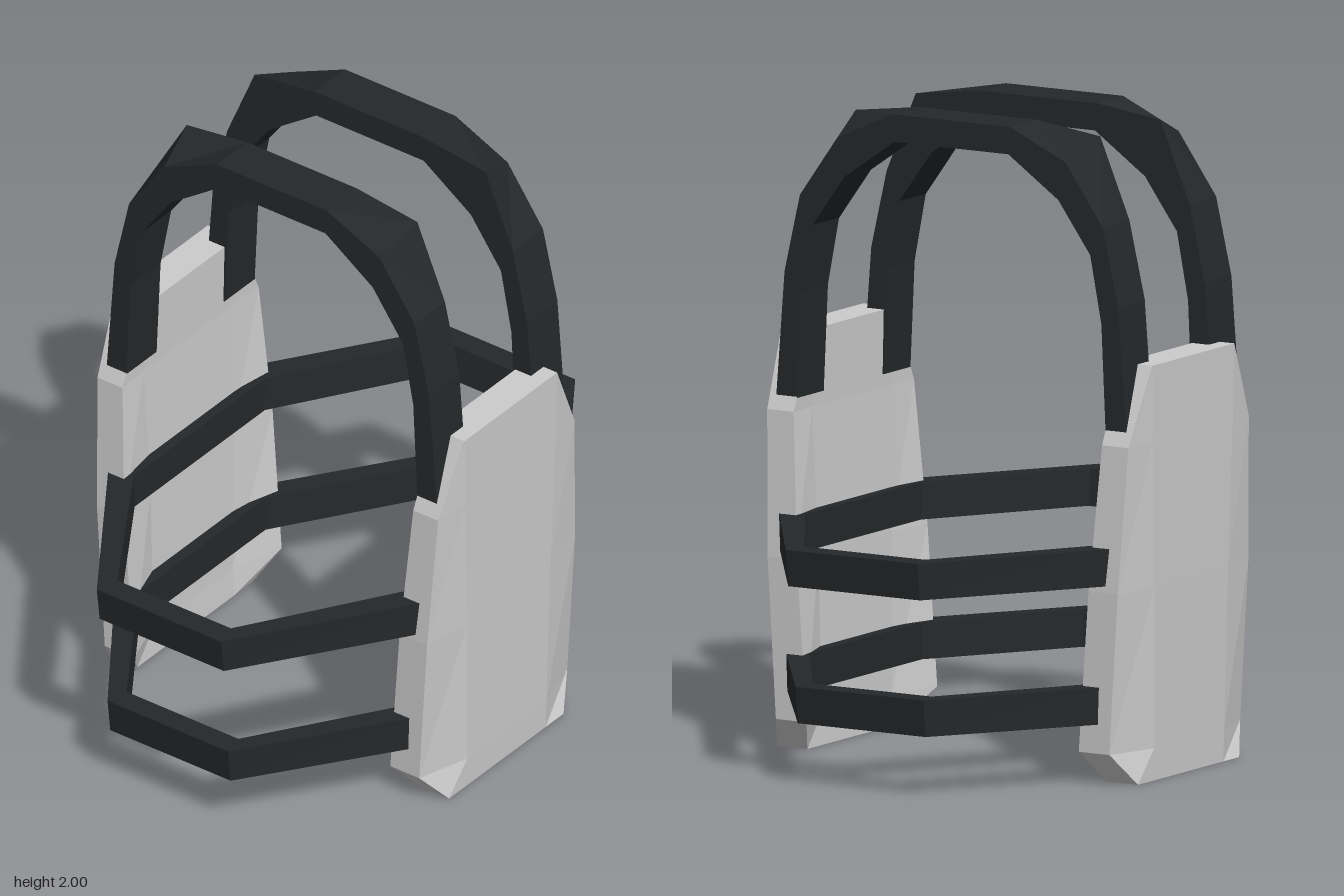
import * as THREE from 'three';

const plateMaterial = new THREE.MeshStandardMaterial({ color: 0xcccccc, flatShading: true });
const strapMaterial = new THREE.MeshStandardMaterial({ color: 0x25282a, flatShading: true });

// Skin a list of equal-sized rings; closed joins last to first, otherwise the ends are capped
function loft(rings, closed) {
  const tris = [];
  const n = rings[0].length;
  const last = closed ? rings.length : rings.length - 1;
  for (let i = 0; i < last; i++) {
    const a = rings[i], b = rings[(i + 1) % rings.length];
    for (let j = 0; j < n; j++) {
      const k = (j + 1) % n;
      tris.push([a[j], a[k], b[k]], [a[j], b[k], b[j]]);
    }
  }
  if (!closed) {
    const a = rings[0], b = rings[rings.length - 1];
    for (let j = 1; j < n - 1; j++) {
      tris.push([a[0], a[j + 1], a[j]], [b[0], b[j], b[j + 1]]);
    }
  }
  // turn the faces outward if the rings ran the other way
  const vec = (p) => new THREE.Vector3(...p);
  const volume = tris.reduce((v, [p, q, r]) => v + vec(p).dot(vec(q).cross(vec(r))), 0);
  if (volume < 0) tris.forEach((t) => t.reverse());
  const geometry = new THREE.BufferGeometry();
  geometry.setAttribute('position', new THREE.Float32BufferAttribute(tris.flat(2), 3));
  geometry.computeVertexNormals();
  return geometry;
}

// Armour plate with swept-back sides and clipped corners
function plateGeometry() {
  // y, half width, half width of flat centre, centre outer/inner z, edge outer/inner z
  const rows = [
    [0, 0.29, 0.2, 0.65, 0.54, 0.65, 0.54],
    [0.1, 0.375, 0.2, 0.652, 0.545, 0.6, 0.49],
    [0.6, 0.375, 0.21, 0.66, 0.55, 0.63, 0.525],
    [1.05, 0.345, 0.23, 0.665, 0.56, 0.65, 0.555],
    [1.29, 0.235, 0.23, 0.667, 0.555, 0.667, 0.555],
  ];
  return loft(rows.map(([y, w, c, co, ci, eo, ei]) => [
    [-w, y, eo], [-c, y, co], [c, y, co], [w, y, eo],
    [w, y, ei], [c, y, ci], [-c, y, ci], [-w, y, ei],
  ]), false);
}

// Shoulder strap arching front to back; side is +1 (left) or -1 (right)
function shoulderStrapGeometry(side) {
  // outer z, y on the neck edge; outer z, y on the arm edge; underside z, y
  const half = [
    [0.63, 1.09, 0.63, 1.09, 0.555, 1.09],
    [0.6, 1.48, 0.6, 1.48, 0.54, 1.42],
    [0.545, 1.72, 0.545, 1.72, 0.5, 1.63],
    [0.44, 1.97, 0.41, 1.91, 0.385, 1.79],
    [0.21, 2, 0.21, 2, 0.205, 1.915],
  ];
  const back = half.map((r) => r.map((v, i) => (i % 2 ? v : -v))).reverse();
  const inX = 0.172 * side, outX = 0.325 * side;
  return loft([...half, ...back].map(([nz, ny, az, ay, uz, uy]) => [
    [inX, ny, nz], [outX, ay, az], [outX, uy, uz], [inX, uy, uz],
  ]), false);
}

// Eight-sided belt loop running around the sides and behind both plates
function beltGeometry(yLow, yHigh, outer, inner) {
  const corners = ([wide, shortZ, narrow, longZ]) => [
    [wide, shortZ], [narrow, longZ], [-narrow, longZ], [-wide, shortZ],
    [-wide, -shortZ], [-narrow, -longZ], [narrow, -longZ], [wide, -shortZ],
  ];
  const o = corners(outer), i = corners(inner);
  const lower = 0.984; // the loop tapers slightly downward
  return loft(o.map(([ox, oz], k) => {
    const [ix, iz] = i[k];
    return [
      [ox, yHigh, oz], [ox * lower, yLow, oz],
      [ix * lower, yLow, iz], [ix, yHigh, iz],
    ];
  }), true);
}

export function createModel() {
  const group = new THREE.Group();
  const add = (name, geometry, material) => {
    const mesh = new THREE.Mesh(geometry, material);
    mesh.name = name;
    group.add(mesh);
    return mesh;
  };

  // Chest and back plates
  const plate = plateGeometry();
  add('frontPlate', plate, plateMaterial);
  add('backPlate', plate, plateMaterial).rotation.y = Math.PI;

  // Shoulder straps
  add('leftShoulderStrap', shoulderStrapGeometry(1), strapMaterial);
  add('rightShoulderStrap', shoulderStrapGeometry(-1), strapMaterial);

  // Waist belts
  add('upperBelt', beltGeometry(0.62, 0.735, [0.897, 0.237, 0.365, 0.595], [0.82, 0.217, 0.335, 0.52]), strapMaterial);
  add('lowerBelt', beltGeometry(0.19, 0.305, [0.852, 0.23, 0.35, 0.58], [0.778, 0.213, 0.325, 0.51]), strapMaterial);

  return group;
}
